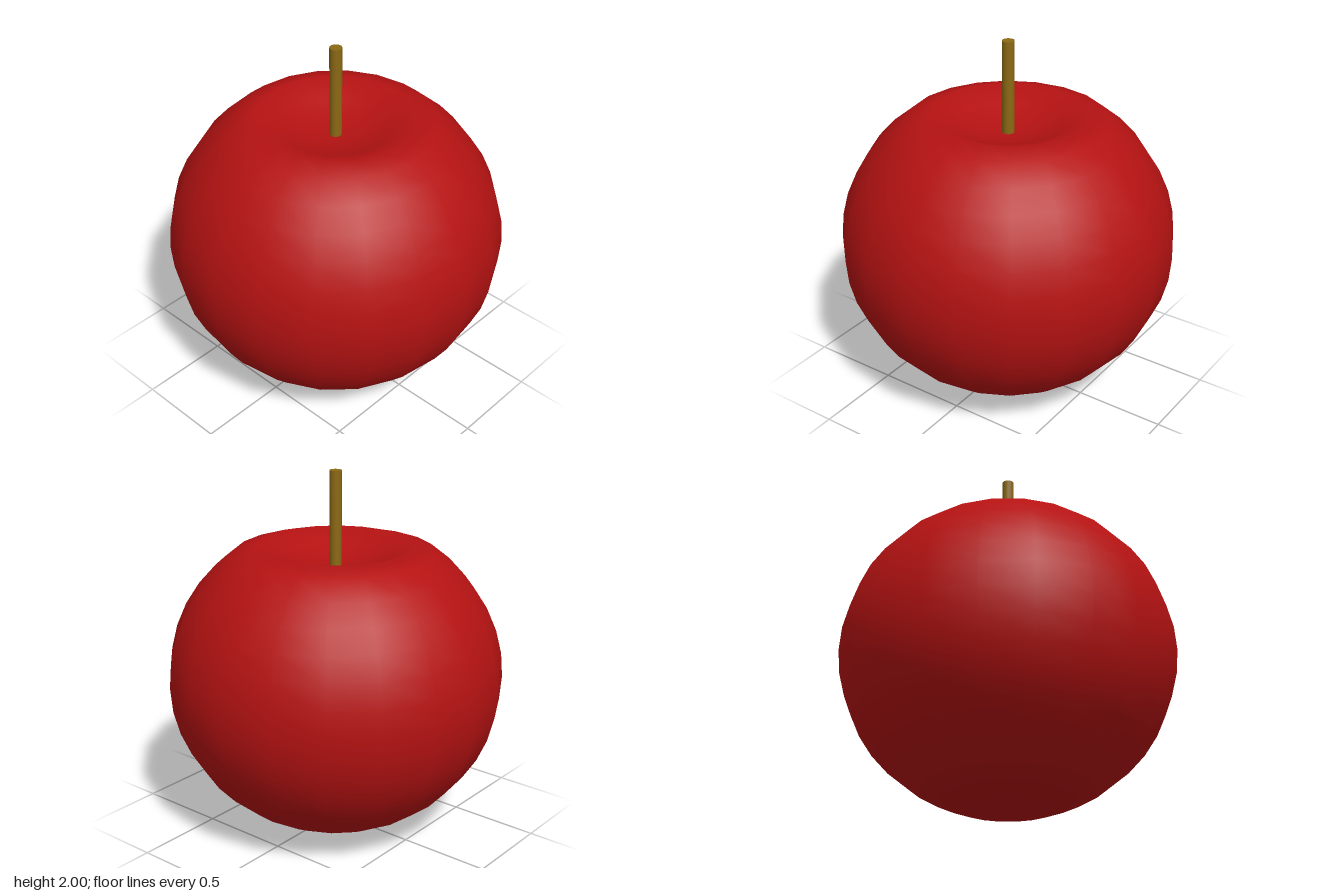
import * as THREE from 'three';

const CENTER_Y = 0.868, RADIUS = 0.915, HALF_HEIGHT = 0.865;
const RINGS = 20, SIDES = 20;
const FOLD_Y = 1.622, FOLD_GAIN = 1.2; // above this height the skin folds inward

function mesh(name, geometry, color) {
  const m = new THREE.Mesh(geometry, new THREE.MeshStandardMaterial({ color }));
  m.name = name;
  return m;
}

export function createModel() {
  const group = new THREE.Group();
  group.name = 'apple';

  // Fruit: squashed sphere profile, its top cap folded down into a dimple
  const profile = [];
  for (let i = 0; i <= RINGS; i++) {
    const a = -Math.PI / 2 + (Math.PI * i) / RINGS;
    let y = CENTER_Y + HALF_HEIGHT * Math.sin(a);
    if (y > FOLD_Y) y = FOLD_Y - FOLD_GAIN * (y - FOLD_Y);
    const r = i === 0 || i === RINGS ? 0 : RADIUS * Math.cos(a);
    profile.push(new THREE.Vector2(r, y));
  }
  const fruit = new THREE.LatheGeometry(profile, SIDES);

  // Straighten the normals at both poles so the shading stays smooth
  const { position, normal } = fruit.attributes;
  for (let i = 0; i < position.count; i++) {
    if (Math.hypot(position.getX(i), position.getZ(i)) < 1e-6) {
      normal.setXYZ(i, 0, position.getY(i) > CENTER_Y ? 1 : -1, 0);
    }
  }
  group.add(mesh('fruit', fruit, 0xb51212));

  // Stem: thin rod rising from the dimple
  const bottom = 1.48, top = 2;
  const stem = mesh('stem', new THREE.CylinderGeometry(0.033, 0.033, top - bottom, 16), 0x8b6914);
  stem.position.y = (bottom + top) / 2;
  group.add(stem);

  return group;
}
